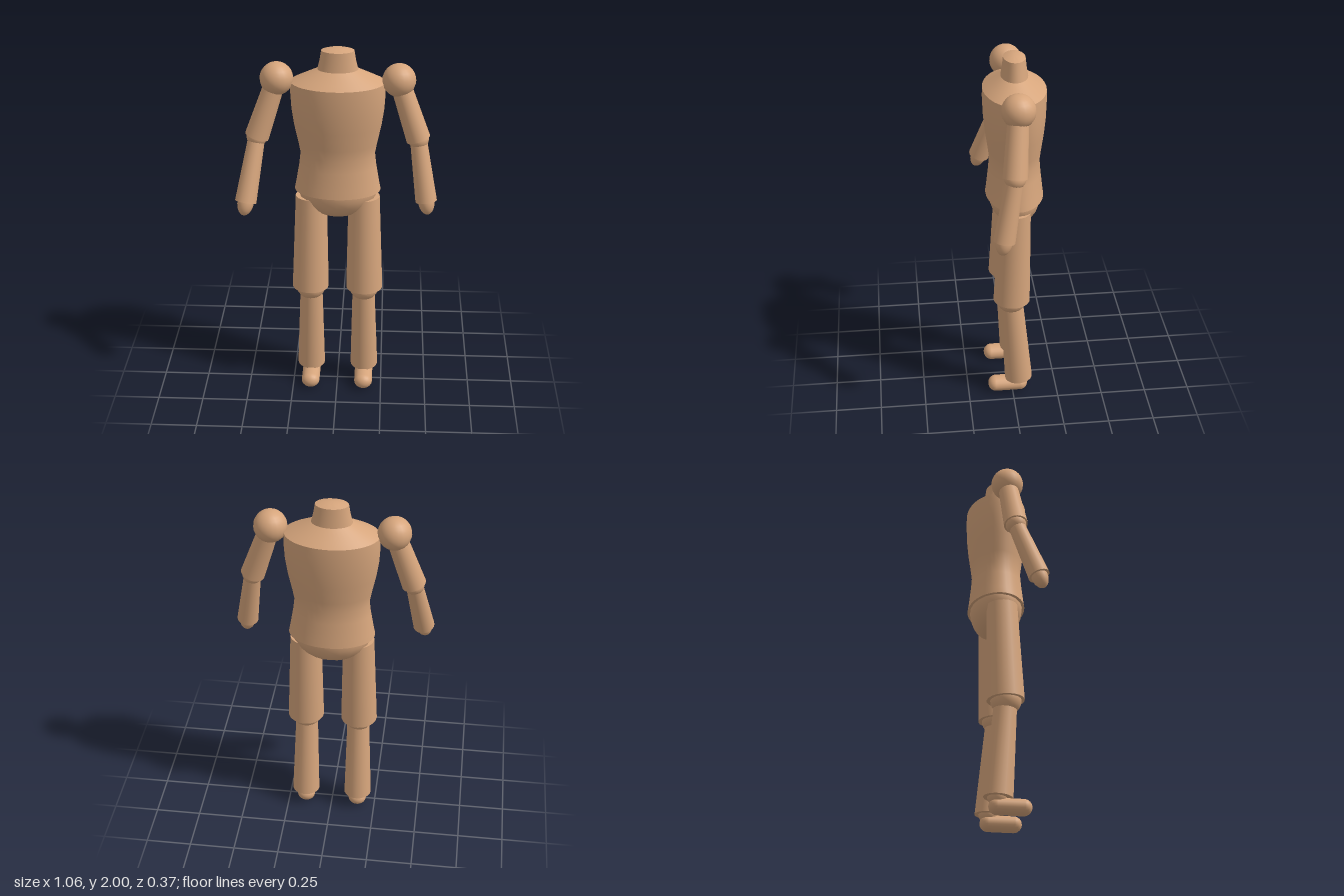
import * as THREE from 'three';
import { toCreasedNormals } from 'three/addons/utils/BufferGeometryUtils.js';

const skin = new THREE.MeshStandardMaterial({ color: 0xd6a57c });
skin.name = 'tan wood';

const V = (x, y, z) => new THREE.Vector3(x, y, z);
const UP = V(0, 1, 0);

function add(parent, name, geometry, position) {
  const mesh = new THREE.Mesh(geometry, skin);
  mesh.name = name;
  if (position) mesh.position.copy(position);
  parent.add(mesh);
  return mesh;
}

// Ball joint, optionally stretched
function ball(parent, name, center, r, sx = 1, sy = 1, sz = 1) {
  const mesh = add(parent, name, new THREE.SphereGeometry(r, 20, 14), center);
  mesh.scale.set(sx, sy, sz);
  return mesh;
}

// Tapered limb segment between two points
function limb(parent, name, top, bottom, rTop, rBottom) {
  const axis = top.clone().sub(bottom);
  const geometry = new THREE.CylinderGeometry(rTop, rBottom, axis.length(), 20);
  const mesh = add(parent, name, geometry, top.clone().add(bottom).multiplyScalar(0.5));
  mesh.quaternion.setFromUnitVectors(UP, axis.normalize());
  return mesh;
}

function makeArm(side, handX, handZ) {
  const arm = new THREE.Group();
  arm.name = side > 0 ? 'leftArm' : 'rightArm';
  const shoulder = V(side * 0.315, 1.833, -0.013);
  const elbow = V(side * 0.422, 1.52, 0.015);
  const wrist = V(side * handX, 1.19, handZ);
  ball(arm, 'shoulder', shoulder, 0.087);
  limb(arm, 'upperArm', shoulder, elbow, 0.052, 0.064);
  ball(arm, 'elbow', elbow, 0.055);
  limb(arm, 'forearm', elbow, wrist, 0.044, 0.057);
  // Rounded hand stretched along the forearm
  const hand = ball(arm, 'hand', wrist, 0.044, 1, 1.7, 1);
  hand.quaternion.setFromUnitVectors(UP, elbow.clone().sub(wrist).normalize());
  return arm;
}

function makeLeg(side) {
  const leg = new THREE.Group();
  leg.name = side > 0 ? 'leftLeg' : 'rightLeg';
  const x = (d) => side * d;
  limb(leg, 'thigh', V(x(0.142), 1.17, -0.015), V(x(0.149), 0.62, 0.004), 0.084, 0.1);
  ball(leg, 'knee', V(x(0.147), 0.625, 0.005), 0.083);
  limb(leg, 'shin', V(x(0.145), 0.61, 0.004), V(x(0.151), 0.09, -0.035), 0.061, 0.077);
  ball(leg, 'ankle', V(x(0.15), 0.1, -0.04), 0.053);
  // Capsule foot pointing forward
  const foot = add(leg, 'foot', new THREE.CapsuleGeometry(0.043, 0.137, 8, 20), V(x(0.15), 0.046, 0.026));
  foot.rotation.x = Math.PI / 2;
  foot.scale.x = 1.18;
  return leg;
}

export function createModel() {
  const model = new THREE.Group();
  model.name = 'mannequin';

  // Torso and neck: one oval lathed profile
  const profile = [
    [0, 1.21], [0.23, 1.21], [0.222, 1.25], [0.205, 1.35], [0.197, 1.42], [0.208, 1.48],
    [0.229, 1.58], [0.242, 1.67], [0.247, 1.76], [0.245, 1.818], [0.2, 1.84], [0.105, 1.885],
    [0.094, 1.93], [0.085, 1.985], [0.05, 1.995], [0, 2],
  ].map(([r, y]) => new THREE.Vector2(r, y));
  const torso = add(model, 'torso', toCreasedNormals(new THREE.LatheGeometry(profile, 40), 0.6), V(0, 0, -0.025));
  torso.scale.z = 0.67;

  // Pelvis bowl below the torso
  ball(model, 'pelvis', V(0, 1.21, -0.025), 0.21, 1, 0.76, 0.67);

  for (const side of [1, -1]) model.add(makeLeg(side));
  // The right forearm reaches further forward
  model.add(makeArm(1, 0.472, 0.075), makeArm(-1, 0.48, 0.125));
  return model;
}
